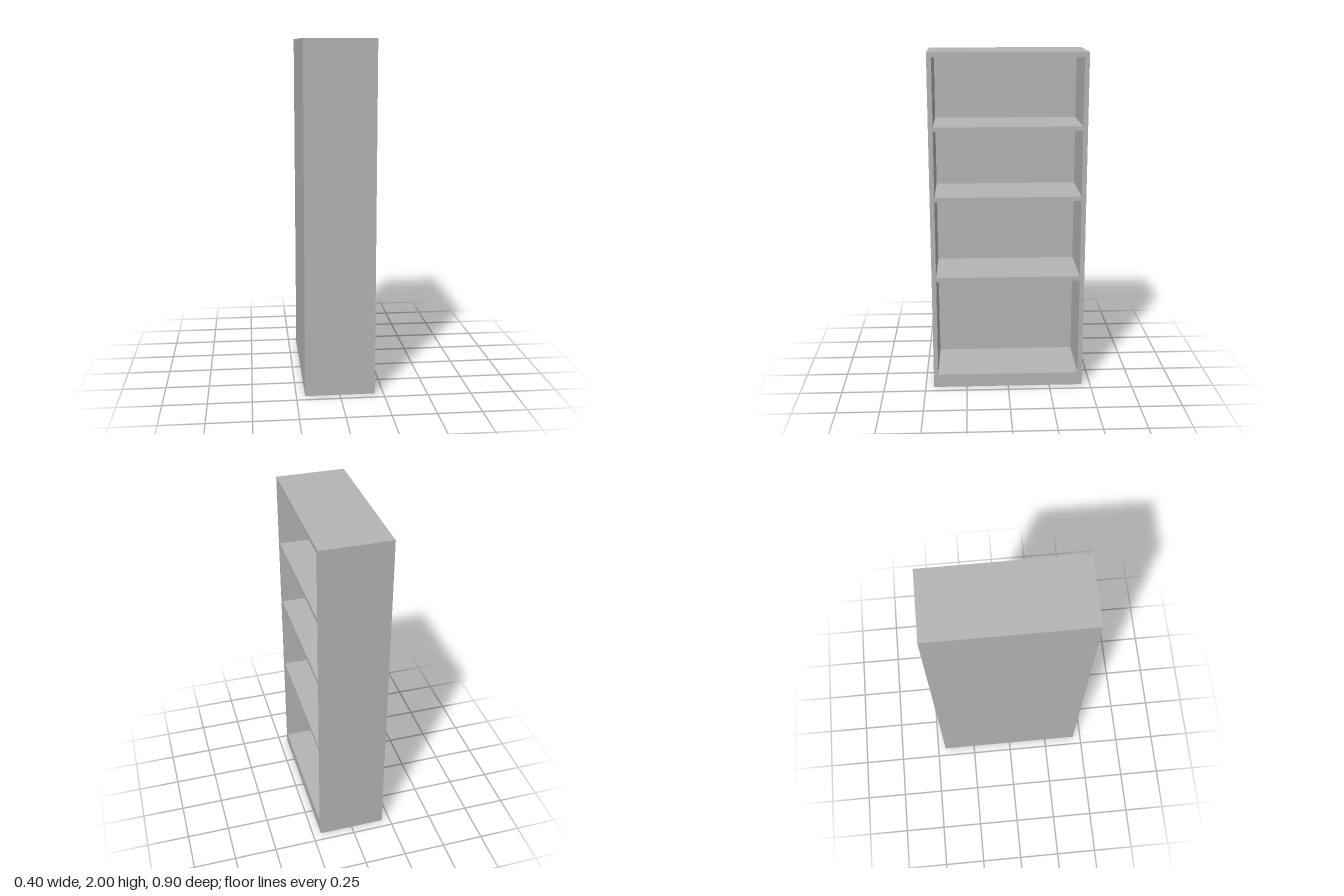
import * as THREE from 'three';

const W = 0.4, H = 2, D = 0.9; // x depth, height, z width
const T = 0.027; // board thickness

export function createModel() {
  const group = new THREE.Group();
  group.name = 'bookcase';
  const grey = new THREE.MeshStandardMaterial({ color: 0xb4b4b4 });
  grey.name = 'plain grey';

  // Carcass: side outline with four compartments cut through, open toward +x
  const rect = (target, z0, z1, y0, y1) => {
    target.moveTo(z0, y0);
    target.lineTo(z1, y0);
    target.lineTo(z1, y1);
    target.lineTo(z0, y1);
    target.closePath();
    return target;
  };
  const outline = rect(new THREE.Shape(), -D / 2, D / 2, 0, H);
  const openings = [[0.08, 0.672], [0.698, 1.155], [1.181, 1.561], [1.587, H - T]];
  for (const [y0, y1] of openings) {
    outline.holes.push(rect(new THREE.Path(), -D / 2 + T, D / 2 - T, y0, y1));
  }
  const frameGeometry = new THREE.ExtrudeGeometry(outline, { depth: W - T, bevelEnabled: false });
  frameGeometry.rotateY(Math.PI / 2); // extrusion axis becomes +x
  frameGeometry.translate(-W / 2 + T, 0, 0);
  const frame = new THREE.Mesh(frameGeometry, grey);
  frame.name = 'frameAndShelves';

  // Closed back board on the -x side
  const back = new THREE.Mesh(new THREE.BoxGeometry(T, H, D), grey);
  back.name = 'backPanel';
  back.position.set(-W / 2 + T / 2, H / 2, 0);

  group.add(frame, back);
  return group;
}
